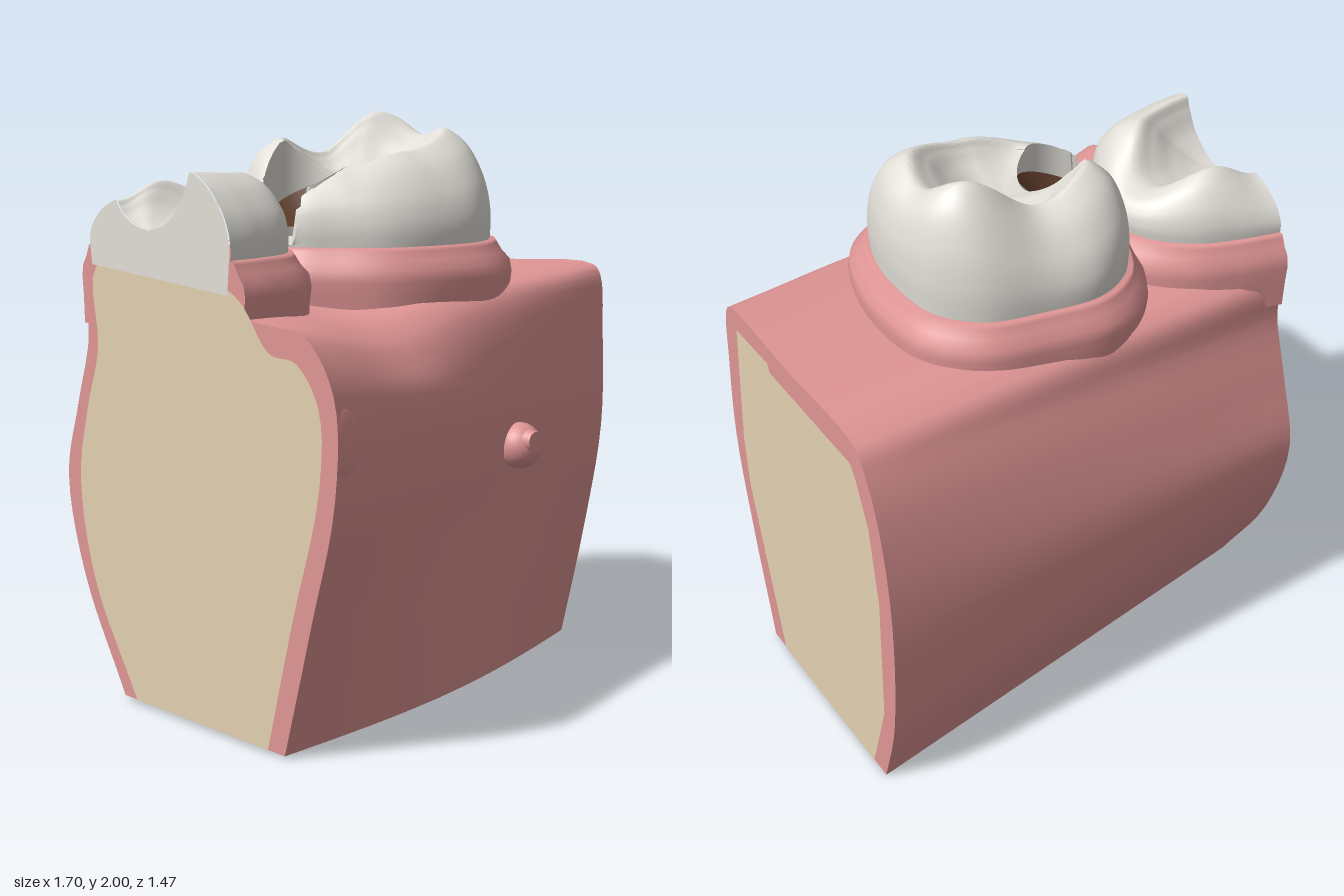
import * as THREE from 'three';
import { toCreasedNormals } from 'three/addons/utils/BufferGeometryUtils.js';

const END = 0.845;
const { lerp, smoothstep, clamp } = THREE.MathUtils;
const mat = (name, color) => Object.assign(new THREE.MeshStandardMaterial({ color }), { name });
const V = (x, y, z) => new THREE.Vector3(x, y, z);

// Skin between rings of points
function loft(rings, closed) {
  const n = rings[0].length, pos = [], idx = [];
  rings.forEach(r => r.forEach(p => pos.push(p.x, p.y, p.z)));
  for (let i = 0; i + 1 < rings.length; i++) {
    for (let j = 0; j < (closed ? n : n - 1); j++) {
      const k = (j + 1) % n, a = i * n + j, b = i * n + k, c = b + n, d = a + n;
      idx.push(a, b, c, a, c, d);
    }
  }
  const g = new THREE.BufferGeometry();
  g.setAttribute('position', new THREE.Float32BufferAttribute(pos, 3));
  g.setIndex(idx);
  g.computeVertexNormals();
  return g;
}

// Flat cut face from (z, y) points, facing -x or +x
function cutFace(points, side, lift = 0) {
  const shape = new THREE.Shape(points.map(([z, y]) => new THREE.Vector2(-side * z, y)));
  return new THREE.ShapeGeometry(shape).rotateY(side * Math.PI / 2).translate(side * (END + lift), 0, 0);
}

// Rounded version of (z, y) points
const rounded = points => new THREE.CatmullRomCurve3(points.map(([z, y]) => V(z, y, 0)))
  .getPoints((points.length - 1) * 5).map(p => [p.x, p.y]);

// Smoothly interpolated cusp height by angle in degrees
function heightAt(keys, deg) {
  for (let i = 0; i + 1 < keys.length; i++) {
    const [a, h] = keys[i], [b, k] = keys[i + 1];
    if (deg <= b) return lerp(h, k, smoothstep(deg, a, b));
  }
  return keys[keys.length - 1][1];
}

function outline(points, closed) {
  const curve = new THREE.CatmullRomCurve3(points.map(([x, z]) => V(x, 0, z)), closed);
  const pts = curve.getSpacedPoints(144);
  if (closed) pts.pop();
  return pts;
}

// Crown rings: profile holds scale, weight of cusp height, weight of fossa height
const crownProfile = new THREE.CatmullRomCurve3([
  V(0.96, -0.4, 0), V(0.985, 0, 0), V(1, 0.3, 0), V(0.98, 0.6, 0), V(0.9, 0.87, 0), V(0.76, 1, 0),
  V(0.58, 0.78, 0.22), V(0.38, 0.38, 0.62), V(0.18, 0.1, 0.9), V(0, 0, 1)]);
function crownRings({ edge, center: [cx, cz], keys, fossa }) {
  return crownProfile.getPoints(72).map(({ x: s, y: a, z: b }) => edge.map(p => {
    const dx = p.x - cx, dz = p.z - cz;
    const deg = (Math.atan2(-dz, dx) * 180 / Math.PI + 360) % 360;
    const taper = 1 - 0.28 * clamp(a, 0, 1) ** 2;
    return V(cx + dx * s, a * heightAt(keys, deg) + b * fossa + (1 - a - b) * 1.57, cz + dz * s * taper);
  }));
}

// Gum collar rings around a tooth
const collarProfile = [[1.13, 1.3], [1.14, 1.4], [1.155, 1.46], [1.14, 1.5], [1.08, 1.53], [1.04, 1.56], [1.025, 1.572], [0.94, 1.572]];
const collarRings = ({ edge, center: [cx, cz] }) => collarProfile.map(([s, y]) =>
  edge.map(p => V(cx + (p.x - cx) * s, y, cz + (p.z - cz) * s)));

// End profile of open rings, as (z, y) points
const endProfile = rings => [
  ...rings.map(r => [r[0].z, r[0].y]),
  ...rings.map(r => [r[r.length - 1].z, r[r.length - 1].y]).reverse()];

// Jaw cross-sections (z, y) at the two ends
const sectionRight = rounded([[0.48, 0.01], [0.605, 0.45], [0.72, 0.88], [0.715, 1.2], [0.59, 1.365], [0.43, 1.385], [0, 1.4],
  [-0.5, 1.4], [-0.53, 1.22], [-0.6, 1.0], [-0.665, 0.75], [-0.58, 0.4], [-0.36, 0.01]]);
const sectionLeft = rounded([[0.175, 0.01], [0.28, 0.45], [0.352, 0.85], [0.35, 1.2], [0.335, 1.4], [0.3, 1.44], [-0.1, 1.43],
  [-0.53, 1.415], [-0.6, 1.33], [-0.67, 1.15], [-0.725, 0.8], [-0.71, 0.31], [-0.637, 0.01]]);
const boneRight = rounded([[0.4, 0.01], [0.52, 0.45], [0.65, 0.9], [0.65, 1.15], [0.55, 1.28], [0.42, 1.3], [0.25, 1.47],
  [-0.47, 1.5], [-0.47, 1.22], [-0.54, 1.0], [-0.59, 0.75], [-0.52, 0.4], [-0.29, 0.01]]);
const boneLeft = [[0.09, 0.01], [0.27, 0.68], [0.286, 0.89], [0.26, 1.37], [0.04, 1.37], [0.03, 1.34], [-0.5, 1.33],
  [-0.53, 1.29], [-0.6, 1.13], [-0.647, 0.84], [-0.647, 0.33], [-0.557, 0.01]];
const root = rounded([[0.27, 1.46], [0.24, 1.2], [0.12, 0.9], [0.05, 0.82], [-0.12, 0.84], [-0.28, 0.9], [-0.4, 1.1], [-0.47, 1.46]]);

export function createModel() {
  const model = new THREE.Group();
  const gum = mat('gum pink', 0xe09595), bone = mat('bone tan', 0xe3d0b1);
  const enamel = mat('enamel white', 0xe2dfd8), decay = mat('decay brown', 0x5a3a28);
  const add = (name, geometry, material) => {
    const mesh = new THREE.Mesh(geometry, material);
    mesh.name = name;
    model.add(mesh);
    return mesh;
  };

  // Jaw block: bowed along the lower front, sloping at the front shoulder, dipping between the teeth
  const jawRings = [];
  for (let i = 0; i <= 32; i++) {
    const t = 1 - i / 32, x = lerp(-END, END, t), middle = Math.sin(Math.PI * t);
    jawRings.push(sectionRight.map(([zr, yr], j) => {
      const y = lerp(yr, sectionLeft[j][1], t), z = lerp(zr, sectionLeft[j][0], t);
      const bow = z > 0 ? 0.075 * middle * Math.max(0, 1 - y / 0.7) : 0;
      const dip = 0.045 * Math.exp(-(((x + 0.4) / 0.25) ** 2)) * smoothstep(y, 1.2, 1.36) * smoothstep(z, 0, 0.3);
      const slope = 0.08 * middle * smoothstep(z, 0.36, 0.55) * smoothstep(y, 0.95, 1.25);
      return V(x, y - dip - slope, z + bow);
    }));
  }
  add('jawGum', toCreasedNormals(loft(jawRings, true), 0.8), gum);
  add('gumCutRight', cutFace(sectionRight, -1), gum);
  add('gumCutLeft', cutFace(sectionLeft, 1), gum);
  add('boneCutRight', cutFace(boneRight, -1, 0.002), bone);
  add('boneCutLeft', cutFace(boneLeft, 1, 0.002), bone);
  add('rootCut', cutFace(root, -1, 0.003), bone);

  // Nerve canal on the right cut
  const canal = Array.from({ length: 32 }, (_, i) => {
    const a = i / 16 * Math.PI;
    return [-0.13 + 0.11 * Math.cos(a), 0.53 + 0.1 * Math.sin(a)];
  });
  add('nerveCanal', cutFace(canal, -1, 0.004), bone);

  // Bone on the underside, inside the gum
  const under = jawRings.map(r => [V(r[0].x, 0, r[r.length - 1].z + 0.015), V(r[0].x, 0, r[0].z - 0.07)]);
  add('boneUnderside', loft(under, false), bone);

  // Low swelling on the front at the right end
  const swelling = new THREE.SphereGeometry(0.14, 24, 20, Math.PI / 2, Math.PI).scale(0.9, 1, 0.33);
  add('gumSwelling', swelling, gum).position.set(-END, 1.05, 0.69);

  // Teeth: outlines run from +x towards the back
  const molar = {
    edge: outline([[0.42, -0.06], [0.395, -0.26], [0.28, -0.39], [0.08, -0.45], [-0.13, -0.475], [-0.28, -0.4], [-0.37, -0.25],
      [-0.425, -0.12], [-0.42, 0.05], [-0.33, 0.17], [-0.2, 0.29], [-0.03, 0.35], [0.18, 0.355], [0.33, 0.26], [0.4, 0.1]], true),
    center: [0, -0.06], fossa: 1.77,
    keys: [[0, 1.92], [42, 2.0], [90, 1.86], [130, 1.92], [180, 1.78], [225, 1.83], [270, 1.88], [325, 1.95], [360, 1.92]],
  };
  const neighbour = {
    edge: outline([[-END, 0.245], [-0.72, 0.235], [-0.56, 0.19], [-0.46, 0.06], [-0.405, -0.05], [-0.4, -0.18],
      [-0.45, -0.3], [-0.56, -0.4], [-0.7, -0.46], [-END, -0.5]], false),
    center: [-END, -0.17], fossa: 1.64,
    keys: [[0, 1.7], [50, 1.79], [90, 1.73], [270, 1.84], [310, 1.83], [360, 1.7]],
  };

  // Molar crown with a cavity sunk into its right side, its wall snapped to an ellipse
  const molarRings = crownRings(molar);
  molarRings.flat().forEach(p => {
    const dx = p.x + 0.25, dz = p.z + 0.055, d = Math.hypot(dx / 0.16, dz / 0.145);
    if (d < 1 || (p.x < -0.3 && Math.abs(p.z + 0.04) < 0.095)) p.y = Math.min(p.y, 1.58);
    if (p.x > -0.36 && p.y > 1.575 && d > 0.88 && d < 1.12) {
      const k = (d < 1 ? 0.985 : 1) / d;
      p.x = -0.25 + dx * k;
      p.z = -0.055 + dz * k;
    }
  });
  add('molarCrown', toCreasedNormals(loft(molarRings, true), 0.8), enamel);

  // Brown floor of the cavity, sloping down to its open side
  const bowlRings = [1, 0.75, 0.5, 0.25, 0].map(r => Array.from({ length: 48 }, (_, j) => {
    const a = j / 48 * Math.PI * 2, c = r * Math.cos(a);
    return V(-0.243 + 0.154 * c, 1.65 + 0.06 * r * r + 0.07 * c, -0.055 - 0.143 * r * Math.sin(a));
  }));
  add('cavityFloor', loft(bowlRings, true), decay);

  // Neighbouring crown, cut flat at the end of the block
  const neighbourRings = crownRings(neighbour);
  add('neighbourCrown', loft(neighbourRings, false), enamel);
  add('neighbourCrownCut', cutFace(endProfile(neighbourRings), -1, 0.005), enamel);

  // Gum collars
  add('molarCollar', loft(collarRings(molar), true), gum);
  const neighbourCollar = collarRings(neighbour);
  add('neighbourCollar', loft(neighbourCollar, false), gum);
  add('neighbourCollarCut', cutFace(endProfile(neighbourCollar), -1, 0.001), gum);

  // Abscess on the front
  add('abscess', new THREE.SphereGeometry(0.08, 32, 20), gum).position.set(0.22, 0.875, 0.505);
  const tip = new THREE.CylinderGeometry(0.034, 0.04, 0.03, 24).rotateX(Math.PI / 2);
  add('abscessTip', tip, gum).position.set(0.212, 0.9, 0.573);

  return model;
}
